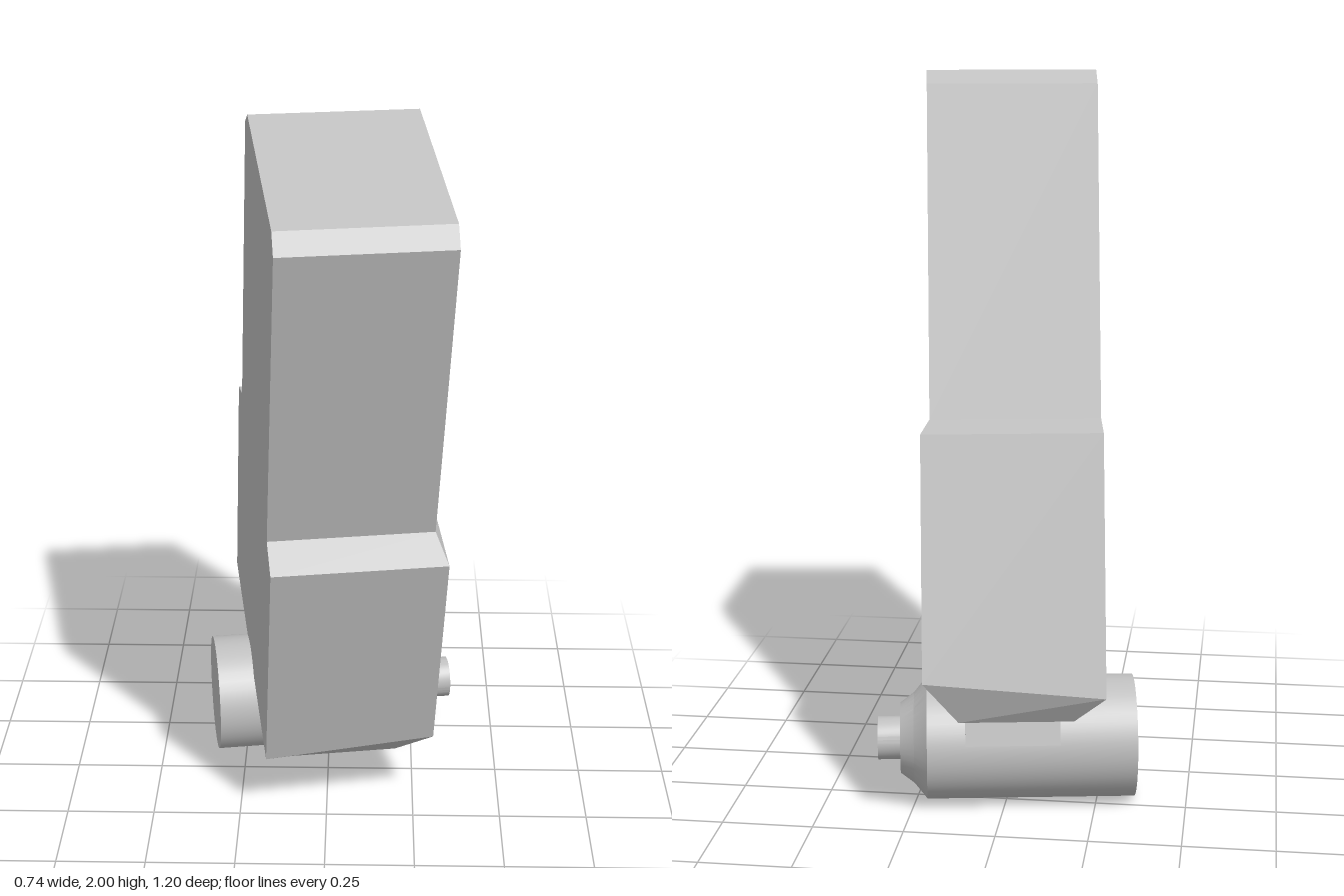
import * as THREE from 'three';
import { toCreasedNormals } from 'three/addons/utils/BufferGeometryUtils.js';

// Joins four-cornered rings with quads; skip(segment, side) leaves a face open.
function loft(rings, { capStart = false, capEnd = false, skip = () => false } = {}) {
  const pos = [];
  const quad = (a, b, c, d) => [a, b, c, a, c, d].forEach((p) => pos.push(...p));
  for (let s = 0; s < rings.length - 1; s++) {
    for (let i = 0; i < 4; i++) {
      if (skip(s, i)) continue;
      const j = (i + 1) % 4;
      quad(rings[s][i], rings[s][j], rings[s + 1][j], rings[s + 1][i]);
    }
  }
  if (capStart) quad(...[...rings[0]].reverse());
  if (capEnd) quad(...rings[rings.length - 1]);
  const geo = new THREE.BufferGeometry();
  geo.setAttribute('position', new THREE.Float32BufferAttribute(pos, 3));
  geo.computeVertexNormals();
  return geo;
}

// Horizontal ring: x range, z range, height on the left and right edges.
const level = (x0, x1, z0, z1, y0, y1 = y0) => [
  [x0, y0, z1], [x1, y1, z1], [x1, y1, z0], [x0, y0, z0],
];

// Upright ring facing +x.
const upright = (x, y0, y1, z0, z1) => [
  [x, y0, z1], [x, y0, z0], [x, y1, z0], [x, y1, z1],
];

export function createModel() {
  const model = new THREE.Group();
  const tilted = new THREE.Group();
  tilted.name = 'tiltedAssembly';
  tilted.rotation.set(THREE.MathUtils.degToRad(15), THREE.MathUtils.degToRad(9), 0, 'YXZ');
  model.add(tilted);

  const grey = new THREE.MeshStandardMaterial({ color: 0xc0c0c0 });
  grey.name = 'plainGrey';
  const add = (name, geo) => {
    const mesh = new THREE.Mesh(geo, grey);
    mesh.name = name;
    tilted.add(mesh);
    return mesh;
  };

  // Chamfered housing: wide base, stepped shoulder and tall upper block
  const left = -0.212, right = 0.244, baseRight = 0.268;
  add('housing', loft([
    level(-0.131, 0.174, -0.596, 0.12, 0.192),
    level(left, baseRight, -0.662, 0.185, 0.256, 0.3),
    level(left, baseRight, -0.662, 0.185, 0.95),
    level(left, right, -0.572, 0.09, 0.992),
    level(left, right, -0.572, 0.09, 1.886),
    level(left, right, -0.522, 0.046, 1.933),
  ], { capStart: true, capEnd: true, skip: (s, i) => s === 1 && i === 1 }));

  // Side wall with a sunken rectangular panel
  add('recessedSidePanel', loft([
    upright(baseRight, 0.3, 0.95, -0.662, 0.185),
    upright(baseRight, 0.347, 0.873, -0.513, 0.035),
    upright(baseRight - 0.09, 0.347, 0.873, -0.513, 0.035),
  ], { capEnd: true }));

  // Bracket joining the housing to the barrel
  const bracket = add('bracket', new THREE.BoxGeometry(0.26, 0.1, 0.34));
  bracket.position.set(0.025, 0.155, -0.24);

  // Barrel with stepped nose and nozzle, turned about the x axis
  const profile = [
    [0, -0.317], [0.17, -0.317], [0.17, 0.26], [0.126, 0.296],
    [0.098, 0.334], [0.06, 0.334], [0.06, 0.397], [0, 0.397],
  ].map(([r, y]) => new THREE.Vector2(r, y));
  const barrel = add('barrel', toCreasedNormals(new THREE.LatheGeometry(profile, 40), 0.25));
  barrel.rotation.z = -Math.PI / 2;
  barrel.position.set(0, 0.112, -0.24);

  return model;
}
